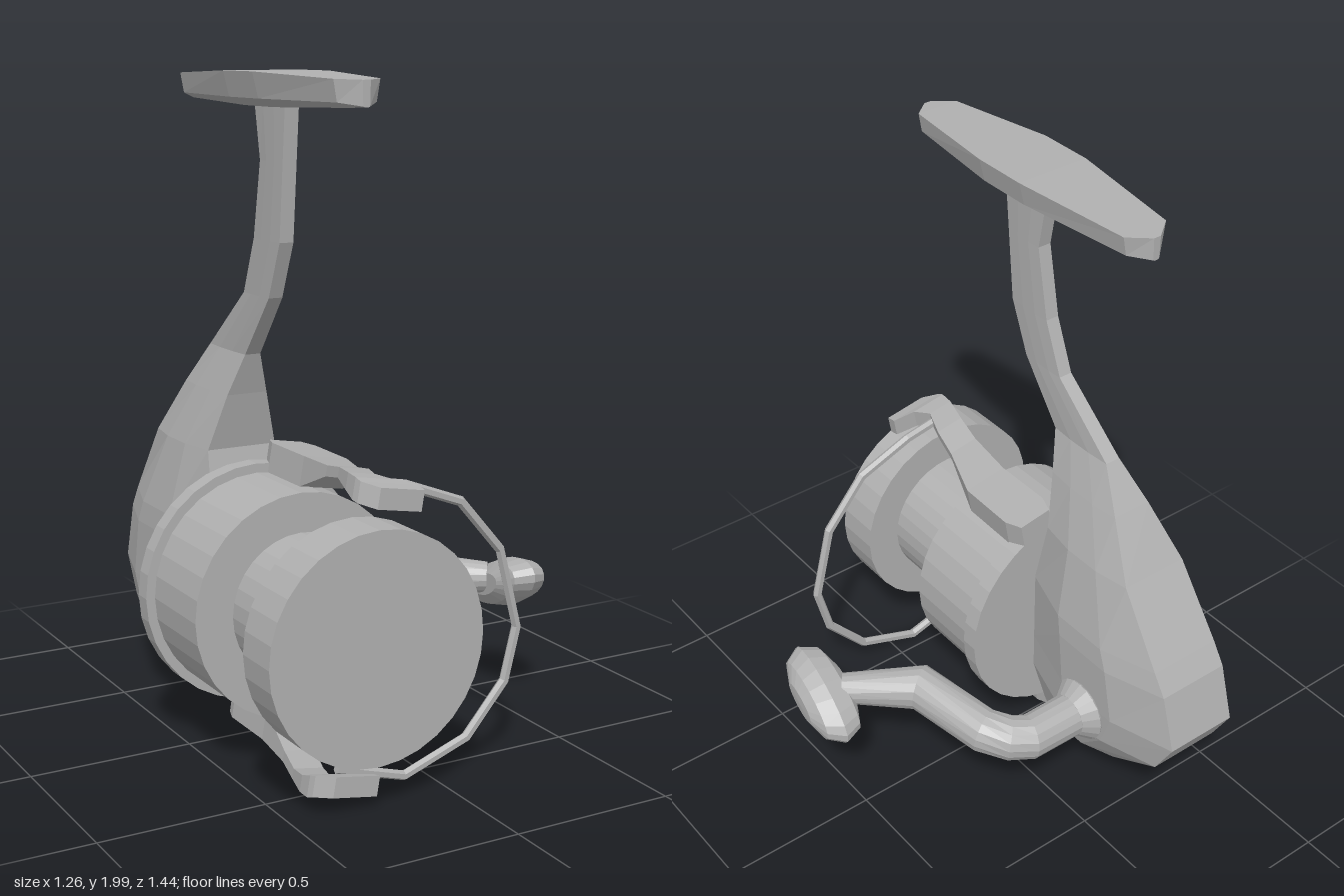
import * as THREE from 'three';

const CX = -0.265, CY = 0.483; // spool axis

// Closed faceted skin through cross-section rings of equal point count
function loft(rings) {
  const n = rings[0].length, tris = [];
  for (let i = 0; i < rings.length - 1; i++) {
    const a = rings[i], b = rings[i + 1];
    for (let j = 0; j < n; j++) {
      const k = (j + 1) % n;
      tris.push([a[j], a[k], b[k]], [a[j], b[k], b[j]]);
    }
  }
  const end = rings[rings.length - 1];
  for (let j = 1; j < n - 1; j++) {
    tris.push([rings[0][0], rings[0][j + 1], rings[0][j]]);
    tris.push([end[0], end[j], end[j + 1]]);
  }
  // Turn the skin outward when its signed volume is negative
  let volume = 0;
  const [p, q, r] = [0, 0, 0].map(() => new THREE.Vector3());
  for (const t of tris) volume += p.set(...t[0]).dot(q.set(...t[1]).cross(r.set(...t[2])));
  if (volume < 0) tris.forEach((t) => t.reverse());
  const g = new THREE.BufferGeometry();
  g.setAttribute('position', new THREE.Float32BufferAttribute(tris.flat(2), 3));
  g.computeVertexNormals();
  return g;
}

// Round bar along a path, one radius per point
function bar(points, radii, sides) {
  const v = points.map((p) => new THREE.Vector3(...p));
  return loft(v.map((c, i) => {
    const before = v[Math.max(i - 1, 0)], after = v[Math.min(i + 1, v.length - 1)];
    const d1 = c.clone().sub(before).normalize(), d2 = after.clone().sub(c).normalize();
    const t = d1.add(d2).normalize();
    const ref = Math.abs(t.z) > 0.95 ? new THREE.Vector3(0, 1, 0) : new THREE.Vector3(0, 0, 1);
    const u = new THREE.Vector3().crossVectors(t, ref).normalize();
    const w = new THREE.Vector3().crossVectors(t, u);
    return Array.from({ length: sides }, (_, j) => {
      const a = (j / sides) * Math.PI * 2;
      return c.clone().addScaledVector(u, Math.cos(a) * radii[i])
        .addScaledVector(w, Math.sin(a) * radii[i]).toArray();
    });
  }));
}

export function createModel() {
  const model = new THREE.Group();
  model.name = 'fishingReel';
  const grey = new THREE.MeshStandardMaterial({ color: 0xb0b0b0 });
  grey.name = 'grey';
  grey.flatShading = true;
  const add = (name, geometry) => {
    const mesh = new THREE.Mesh(geometry, grey);
    mesh.name = name;
    model.add(mesh);
    return mesh;
  };

  // Body and stem: y, front z, back z, edge half width, middle half width
  const bodyRows = [
    [0.095, -0.19, -0.29, 0.07, 0.09],
    [0.146, -0.096, -0.436, 0.10, 0.14],
    [0.286, -0.053, -0.65, 0.12, 0.18],
    [0.407, -0.053, -0.718, 0.12, 0.185],
    [0.587, -0.053, -0.665, 0.12, 0.185],
    [0.656, -0.053, -0.62, 0.12, 0.18],
    [0.88, -0.10, -0.465, 0.112, 0.132],
    [1.05, -0.06, -0.35, 0.065, 0.075],
    [1.175, -0.02, -0.256, 0.025, 0.03],
    [1.36, 0.128, -0.03, 0.022, 0.025],
    [1.525, 0.197, 0.037, 0.022, 0.025],
    [1.75, 0.218, 0.08, 0.022, 0.025],
    [1.92, 0.234, 0.048, 0.022, 0.025],
  ];
  add('bodyAndStem', loft(bodyRows.map(([y, f, b, e, m]) => {
    const z1 = f + (b - f) * 0.33, z2 = f + (b - f) * 0.68;
    return [[e, f], [m, z1], [m, z2], [e, b], [-e, b], [-m, z2], [-m, z1], [-e, f]]
      .map(([x, z]) => [CX + x, y, z]);
  })));

  // Mounting foot: z, half width, bottom y, top y
  const footRows = [
    [-0.385, 0.012, 1.915, 1.985],
    [-0.335, 0.075, 1.913, 1.987],
    [0.05, 0.12, 1.903, 2.0],
    [0.23, 0.12, 1.903, 2.0],
    [0.59, 0.07, 1.913, 1.987],
    [0.64, 0.012, 1.915, 1.985],
  ];
  add('mountingFoot', loft(footRows.map(([z, w, b, t]) => [
    [CX - w, t, z], [CX + w, t, z], [CX + w * 0.85, b + w * 0.2, z],
    [CX + w * 0.45, b, z], [CX - w * 0.45, b, z], [CX - w * 0.85, b + w * 0.2, z],
  ])));

  // Spool and rotor drums along the z axis
  const drums = [
    ['rotorFlange', 0.365, -0.055, 0.0],
    ['rotorDrum', 0.337, 0.0, 0.278],
    ['spoolCore', 0.22, 0.27, 0.57],
    ['spoolLip', 0.333, 0.567, 0.718],
  ];
  for (const [name, radius, z0, z1] of drums) {
    const g = new THREE.CylinderGeometry(radius, radius, z1 - z0, 32);
    add(name, g.rotateX(Math.PI / 2).translate(CX, CY, (z0 + z1) / 2));
  }

  // Bail arms: z, left x, right x, inner and outer distance from the axis
  const armRows = [
    [-0.055, 0.0, 0.11, 0.335, 0.425],
    [0.0, -0.02, 0.13, 0.335, 0.425],
    [0.2, -0.02, 0.125, 0.335, 0.425],
    [0.37, -0.04, 0.06, 0.4, 0.432],
    [0.47, -0.06, 0.035, 0.417, 0.447],
    [0.56, -0.085, 0.0, 0.402, 0.45],
    [0.61, -0.09, 0.03, 0.385, 0.447],
    [0.63, -0.085, 0.1, 0.38, 0.44],
    [0.665, -0.04, 0.1, 0.372, 0.432],
  ];
  for (const [name, side] of [['upperBailArm', 1], ['lowerBailArm', -1]]) {
    const arm = add(name, loft(armRows.map(([z, l, r, i, o]) => [
      [l, side * i, z], [r, side * i, z], [r, side * o, z], [l, side * o, z],
    ])));
    arm.position.set(CX, CY, 0);
    arm.rotation.z = -0.17;
  }

  // Bail wire sweeping round the model's left side
  const wire = [[-0.19, 0.9], [-0.085, 0.88], [0.10, 0.81], [0.238, 0.65], [0.30, 0.41],
    [0.26, 0.25], [0.13, 0.10], [-0.08, 0.025], [-0.3, 0.09]];
  add('bailWire', bar(wire.map(([x, y]) => [x, y, 0.546]), wire.map(() => 0.015), 6));

  // Crank collar, arm and knob
  const collar = new THREE.CylinderGeometry(0.07, 0.105, 0.045, 20);
  add('crankCollar', collar.rotateZ(-Math.PI / 2).translate(-0.052, 0.36, -0.368));
  const hub = new THREE.CylinderGeometry(0.105, 0.08, 0.04, 20);
  add('crankHub', hub.rotateZ(-Math.PI / 2).translate(-0.094, 0.36, -0.368));
  add('crankArm', bar(
    [[-0.1, 0.36, -0.368], [0.125, 0.36, -0.368], [0.18, 0.367, -0.34], [0.23, 0.378, -0.275],
      [0.295, 0.415, -0.03], [0.49, 0.415, 0.115]],
    [0.07, 0.07, 0.07, 0.07, 0.072, 0.048], 16));
  const profile = [[0, -0.085], [0.45, -0.085], [0.85, -0.058], [1, 0], [0.8, 0.052], [0.42, 0.076], [0, 0.078]];
  const knob = new THREE.LatheGeometry(profile.map(([r, h]) => new THREE.Vector2(r, h)), 20);
  knob.scale(0.075, 1, 0.18).rotateZ(-Math.PI / 2).rotateX(-0.38).rotateY(-0.1);
  add('crankKnob', knob.translate(0.55, 0.4, 0.145));

  return model;
}
